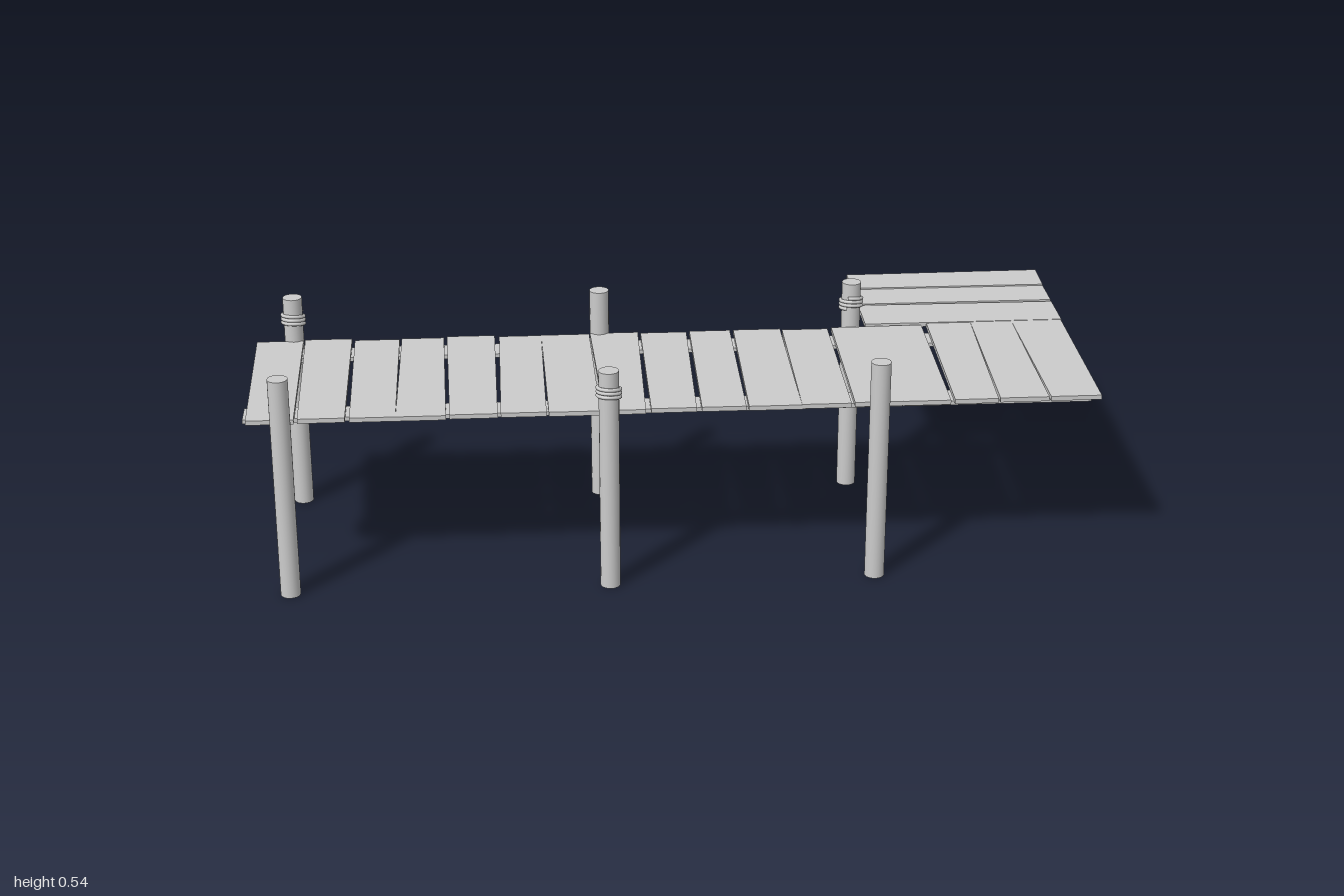
import * as THREE from 'three';

const wood = new THREE.MeshStandardMaterial({ color: 0xcccccc });

// Flat board: outline corners [x, z], from height y to y + h
function board(name, corners, y, h) {
  const shape = new THREE.Shape(corners.map(([x, z]) => new THREE.Vector2(x, -z)));
  const geo = new THREE.ExtrudeGeometry(shape, { depth: h, bevelEnabled: false });
  geo.rotateX(-Math.PI / 2);
  const mesh = new THREE.Mesh(geo, wood);
  mesh.position.y = y;
  mesh.name = name;
  return mesh;
}

function rect(name, x0, x1, z0, z1, y, h) {
  return board(name, [[x0, z1], [x1, z1], [x1, z0], [x0, z0]], y, h);
}

// Rope wound around a post as a slightly tilted coil
function rope(x, z, turn) {
  const pts = [];
  const turns = 3, steps = 16;
  for (let i = 0; i <= turns * steps; i++) {
    const a = (i / steps) * Math.PI * 2 + turn;
    const y = 0.476 + 0.028 * (i / (turns * steps)) + 0.005 * Math.sin(a);
    pts.push(new THREE.Vector3(0.026 * Math.cos(a), y, 0.026 * Math.sin(a)));
  }
  const curve = new THREE.CatmullRomCurve3(pts);
  const mesh = new THREE.Mesh(new THREE.TubeGeometry(curve, 120, 0.0045, 8), wood);
  mesh.position.set(x, 0, z);
  mesh.name = 'ropeCoil';
  return mesh;
}

export function createModel() {
  const dock = new THREE.Group();
  dock.name = 'dock';

  // Posts, three of them wrapped in rope
  const posts = [
    [-0.905, -0.1, true], [-0.158, -0.1, false], [0.467, -0.116, true],
    [-0.905, 0.413, false], [-0.158, 0.413, true], [0.467, 0.403, false],
  ];
  posts.forEach(([x, z, roped], i) => {
    const post = new THREE.Mesh(new THREE.CylinderGeometry(0.0235, 0.0235, 0.544, 20), wood);
    post.position.set(x, 0.272, z);
    post.name = 'post';
    dock.add(post);
    if (roped) dock.add(rope(x, z, i));
  });

  // Walkway planks: gaps as [back end, next back start, front end, next front start]
  const gaps = [
    [-0.995, -0.995, -0.985, -0.985],
    [-0.882, -0.878, -0.876, -0.868],
    [-0.764, -0.757, -0.76, -0.75],
    [-0.648, -0.643, -0.645, -0.645],
    [-0.54, -0.533, -0.53, -0.522],
    [-0.416, -0.405, -0.412, -0.405],
    [-0.302, -0.302, -0.3, -0.295],
    [-0.184, -0.182, -0.176, -0.168],
    [-0.064, -0.058, -0.072, -0.06],
    [0.055, 0.063, 0.045, 0.057],
    [0.163, 0.172, 0.16, 0.166],
    [0.288, 0.292, 0.289, 0.289],
    [0.405, 0.415, 0.404, 0.412],
    [0.524, 0.524, 0.524, 0.524],
    [0.64, 0.655, 0.636, 0.646],
    [0.765, 0.765, 0.748, 0.752],
    [0.868, 0.868, 0.867, 0.871],
    [0.993, 0.993, 0.99, 0.99],
  ];
  const walkway = new THREE.Group();
  walkway.name = 'walkwayPlanks';
  for (let i = 0; i < gaps.length - 1; i++) {
    const a = gaps[i], b = gaps[i + 1];
    const back = i > 13 ? -0.1 : -0.084 - 0.005 * Math.sin(i * 2.1);
    const front = i > 13 ? 0.38 : 0.397 - 0.001 * i;
    const y = 0.4245 + 0.0008 * Math.sin(i * 1.7);
    walkway.add(board('plank', [[a[3], front], [b[2], front], [b[0], back], [a[1], back]], y, 0.011));
  }
  dock.add(walkway);

  // Side platform planks running across
  const platform = new THREE.Group();
  platform.name = 'platformPlanks';
  platform.add(
    board('plank', [[0.502, -0.1], [0.995, -0.102], [0.995, -0.226], [0.502, -0.229]], 0.4255, 0.011),
    board('plank', [[0.502, -0.235], [0.995, -0.235], [0.995, -0.346], [0.502, -0.338]], 0.4265, 0.011),
    board('plank', [[0.5, -0.338], [0.995, -0.336], [0.997, -0.444], [0.5, -0.438]], 0.43, 0.011),
  );
  dock.add(platform);

  // Support beams below the decking
  const beams = new THREE.Group();
  beams.name = 'supportBeams';
  beams.add(
    rect('longBeam', -0.995, 0.97, 0.3, 0.365, 0.415, 0.01),
    rect('longBeam', -0.995, 0.97, -0.06, 0.005, 0.415, 0.01),
    rect('platformBeam', 0.525, 0.59, -0.44, -0.06, 0.415, 0.013),
    rect('platformBeam', 0.895, 0.96, -0.44, -0.06, 0.415, 0.013),
  );
  dock.add(beams);

  return dock;
}
